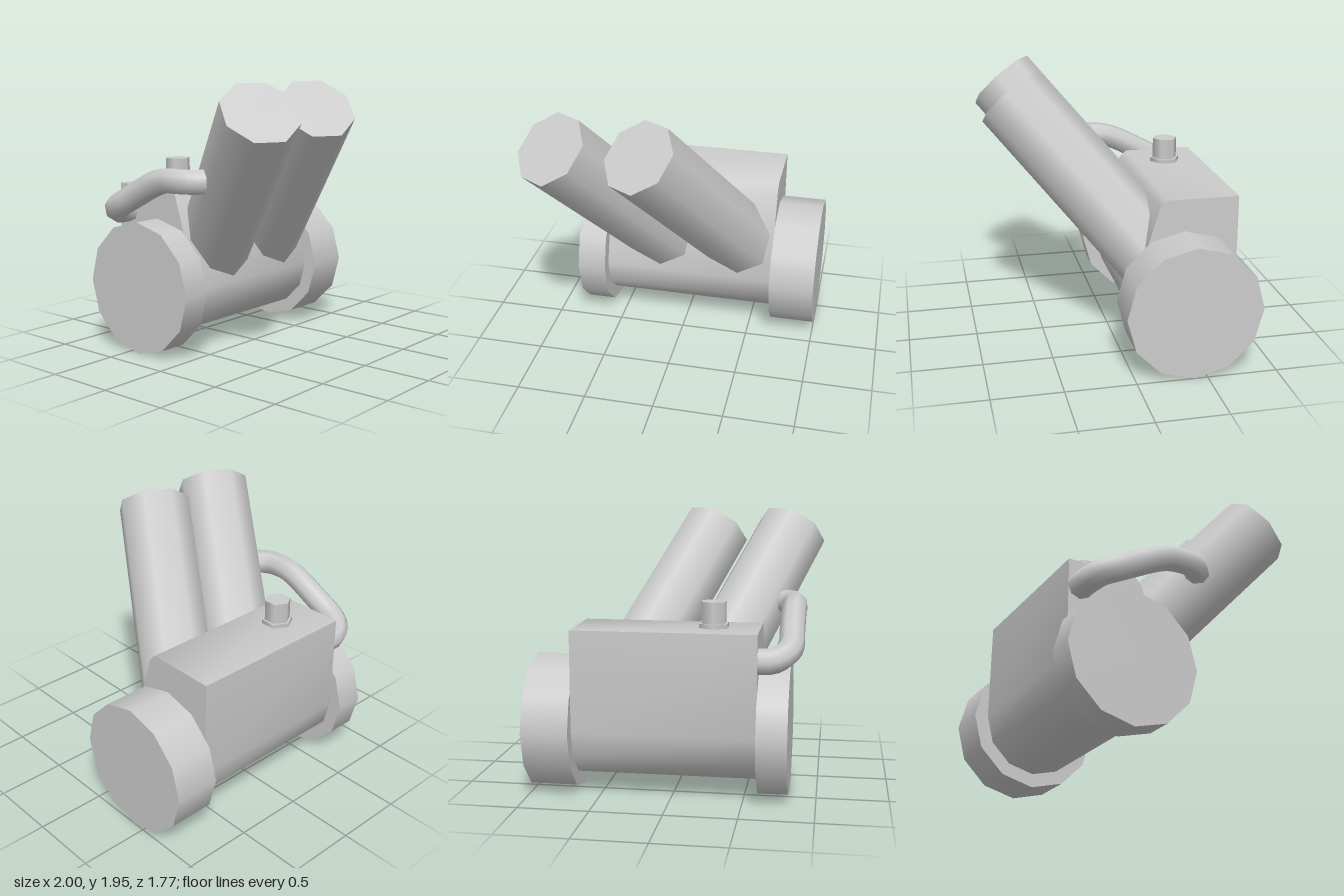
import * as THREE from 'three';
import { toCreasedNormals } from 'three/addons/utils/BufferGeometryUtils.js';

const material = new THREE.MeshStandardMaterial({ color: 0xcccccc });
const AXIS_Y = 0.48, AXIS_Z = -0.41;

export function createModel() {
  const model = new THREE.Group();
  model.name = 'engineBlock';

  const add = (name, geometry) => {
    const mesh = new THREE.Mesh(geometry, material);
    mesh.name = name;
    model.add(mesh);
    return mesh;
  };

  // Twelve-sided end drums lying along x
  const drum = (name, x0, x1) => {
    const geometry = new THREE.CylinderGeometry(0.48, 0.48, x1 - x0, 12);
    geometry.rotateZ(Math.PI / 2);
    add(name, geometry).position.set((x0 + x1) / 2, AXIS_Y, AXIS_Z);
  };
  drum('rightDrum', -0.81, -0.6);
  drum('leftDrum', 0.67, 1);

  // Main housing: round underside, flat back and top, sloping front
  const profile = [];
  for (let i = 0; i <= 6; i++) {
    const a = Math.PI + (i * Math.PI) / 6;
    profile.push(new THREE.Vector2(-AXIS_Z + 0.38 * Math.cos(a), AXIS_Y + 0.38 * Math.sin(a)));
  }
  for (const [x, y] of [[0.79, 1.19], [0.28, 1.19], [0.23, 1.14]]) profile.push(new THREE.Vector2(x, y));
  const housing = new THREE.ExtrudeGeometry(new THREE.Shape(profile), { depth: 1.27, bevelEnabled: false });
  housing.rotateY(Math.PI / 2);
  housing.translate(-0.6, 0, 0);
  add('housing', toCreasedNormals(housing, 1.2));

  // Two slanted eight-sided cylinders rising to the front right
  const across = new THREE.Vector3(0.25, 0.075, 0.065).normalize();
  const along = new THREE.Vector3(-0.52, 1, 0.853);
  along.addScaledVector(across, -along.dot(across)).normalize();
  const basis = new THREE.Matrix4().makeBasis(across, along, across.clone().cross(along));
  const LENGTH = 1.7;
  const barrel = new THREE.CylinderGeometry(0.27, 0.27, LENGTH, 8);
  barrel.translate(0, -LENGTH / 2, 0);
  barrel.applyMatrix4(basis);
  [-0.75, -0.15].forEach((x, i) => {
    add(i ? 'leftBarrel' : 'rightBarrel', barrel).position.set(x, 1.775, 0.675);
  });

  // Bent hose from the housing's side to the right barrel
  const path = new THREE.CatmullRomCurve3([
    [-0.52, 1.0, -0.7], [-0.69, 1.0, -0.7], [-0.78, 1.04, -0.64], [-0.81, 1.08, -0.55],
    [-0.81, 1.16, -0.4], [-0.81, 1.25, -0.22], [-0.81, 1.28, -0.12], [-0.81, 1.285, 0.02],
    [-0.78, 1.285, 0.1], [-0.69, 1.285, 0.18], [-0.55, 1.285, 0.28],
  ].map((p) => new THREE.Vector3(...p)));
  add('hose', new THREE.TubeGeometry(path, 28, 0.09, 8));

  // Hexagonal filler cap with its collar
  add('capCollar', new THREE.CylinderGeometry(0.11, 0.11, 0.04, 6)).position.set(-0.28, 1.2, -0.51);
  add('fillerCap', new THREE.CylinderGeometry(0.092, 0.092, 0.17, 6)).position.set(-0.28, 1.285, -0.51);

  return model;
}
